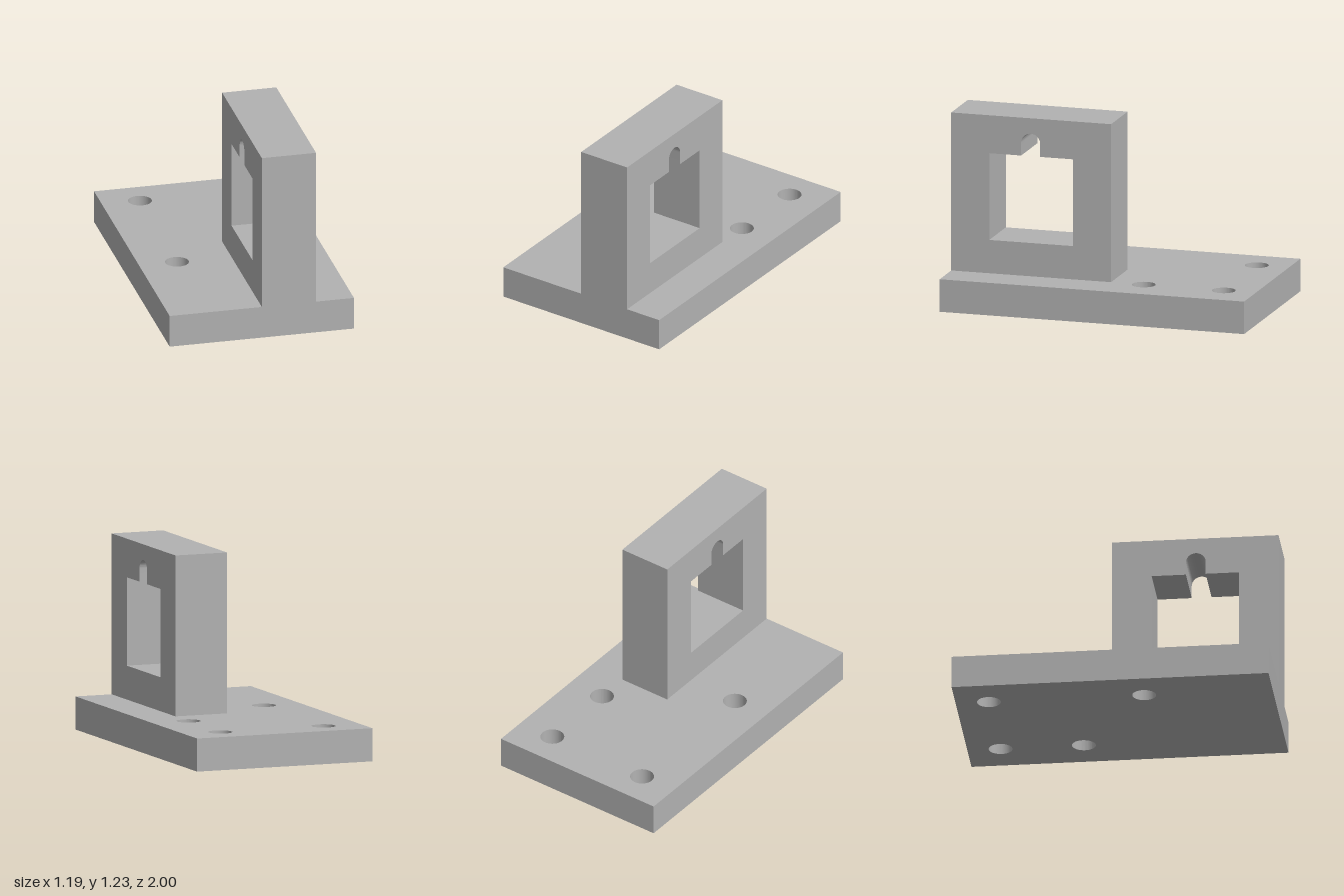
import * as THREE from 'three';
import { toCreasedNormals } from 'three/addons/utils/BufferGeometryUtils.js';

const BASE_HEIGHT = 0.21;

function rectangle(x0, y0, x1, y1) {
  return new THREE.Shape()
    .moveTo(x0, y0).lineTo(x1, y0).lineTo(x1, y1).lineTo(x0, y1).closePath();
}

function extrude(shape, depth) {
  return new THREE.ExtrudeGeometry(shape, { depth, bevelEnabled: false, curveSegments: 32 });
}

function addPart(group, name, geometry, material) {
  const mesh = new THREE.Mesh(toCreasedNormals(geometry, 0.6), material);
  mesh.name = name;
  group.add(mesh);
}

export function createModel() {
  const group = new THREE.Group();
  group.name = 'mountingBracket';
  const grey = new THREE.MeshStandardMaterial({ color: 0xb2b2b2 });
  grey.name = 'grey';

  // Base plate with four through holes, given as [x, z]
  const plate = rectangle(-0.595, -1, 0.595, 1);
  for (const [x, z] of [[-0.35, -0.79], [0.35, -0.79], [0.35, -0.265], [-0.35, 0.19]]) {
    plate.holes.push(new THREE.Path().absarc(x, -z, 0.075, 0, Math.PI * 2, true));
  }
  addPart(group, 'basePlate', extrude(plate, BASE_HEIGHT).rotateX(-Math.PI / 2), grey);

  // Upright block, drawn in the z-y plane, with a window topped by a round-ended slot
  const block = rectangle(-0.05, BASE_HEIGHT, 1, 1.23);
  const slotZ = 0.478, slotRadius = 0.0625;
  const opening = new THREE.Path();
  opening.moveTo(0.2, 0.425).lineTo(0.75, 0.425).lineTo(0.75, 0.985);
  opening.lineTo(slotZ + slotRadius, 0.985);
  opening.absarc(slotZ, 1.068, slotRadius, 0, Math.PI, false);
  opening.lineTo(slotZ - slotRadius, 0.985).lineTo(0.2, 0.985).closePath();
  block.holes.push(opening);
  addPart(group, 'uprightBlock',
    extrude(block, 0.35).rotateY(-Math.PI / 2).translate(0.35, 0, 0), grey);

  return group;
}
